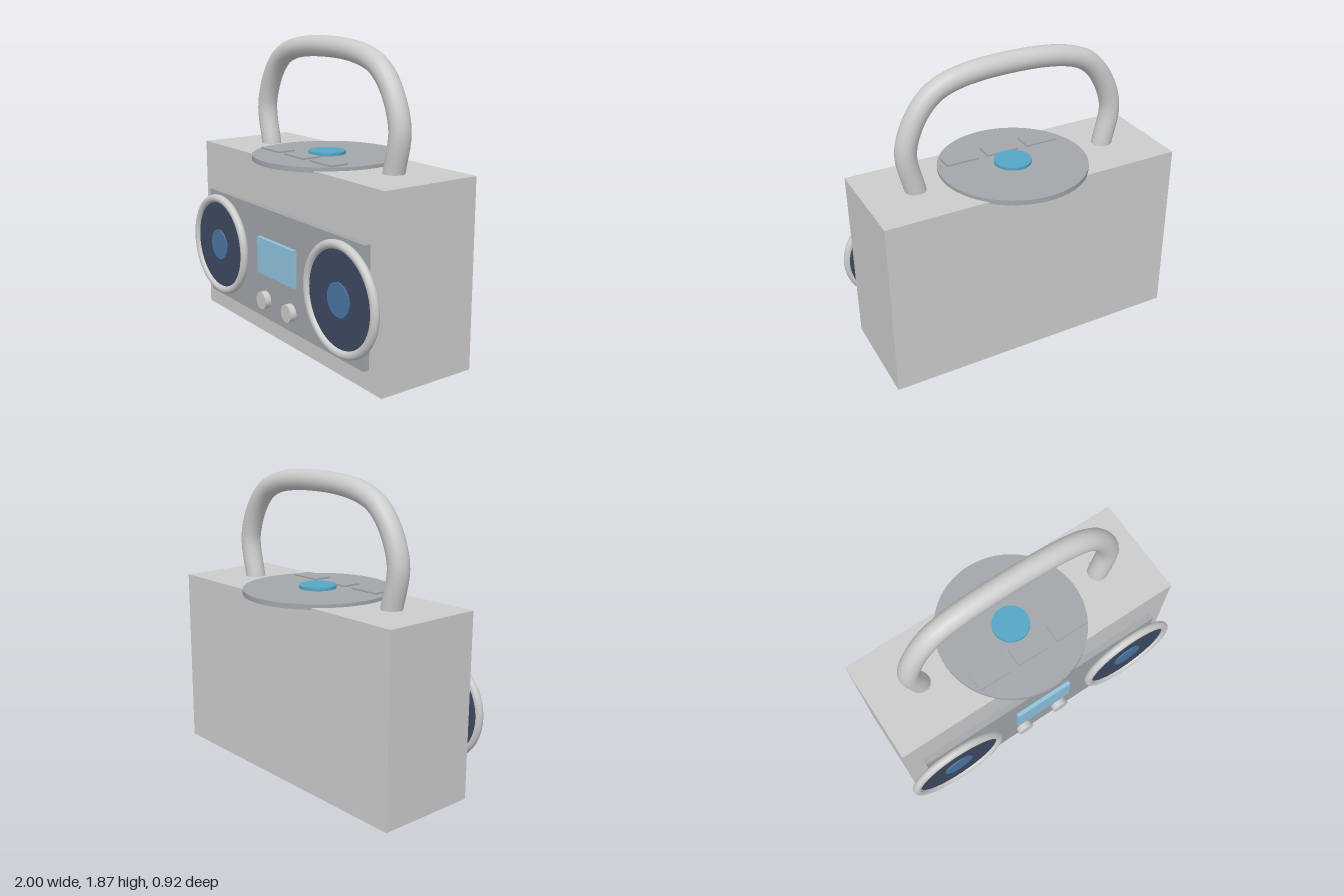
import * as THREE from 'three';

const paint = (color) => new THREE.MeshStandardMaterial({ color });

export function createModel() {
  const model = new THREE.Group();
  model.name = 'portableStereo';

  const grey = paint(0xcccccc);
  const darkGrey = paint(0xa2a6a9);
  const navy = paint(0x3d4a60);
  const blue = paint(0x4a76a3);
  const paleBlue = paint(0x8ec3de);
  const skyBlue = paint(0x55a5c6);

  const add = (name, geometry, material, x, y, z) => {
    const mesh = new THREE.Mesh(geometry, material);
    mesh.name = name;
    mesh.position.set(x, y, z);
    model.add(mesh);
    return mesh;
  };
  // Box given by its size, centre x and y, and its back and front z
  const slab = (name, w, h, x, y, z0, z1, material) =>
    add(name, new THREE.BoxGeometry(w, h, z1 - z0), material, x, y, (z0 + z1) / 2);
  // Round disc facing the front
  const frontDisc = (name, r, x, y, z0, z1, material) =>
    add(name, new THREE.CylinderGeometry(r, r, z1 - z0, 48).rotateX(Math.PI / 2),
      material, x, y, (z0 + z1) / 2);
  // Round disc lying flat
  const flatDisc = (name, r, y0, y1, material) =>
    add(name, new THREE.CylinderGeometry(r, r, y1 - y0, 64), material, 0, (y0 + y1) / 2, 0);

  // Case and front panel
  slab('body', 1.91, 1.14, 0, 0.57, -0.325, 0.325, grey);
  slab('frontPanel', 1.69, 0.71, 0, 0.48, 0.32, 0.365, darkGrey);

  // Speakers and knobs, mirrored left and right
  for (const [side, s] of [['left', 1], ['right', -1]]) {
    const x = s * 0.665;
    add(side + 'SpeakerRing', new THREE.TorusGeometry(0.309, 0.026, 16, 64), grey, x, 0.49, 0.393);
    frontDisc(side + 'SpeakerCone', 0.31, x, 0.49, 0.368, 0.398, navy);
    frontDisc(side + 'SpeakerCap', 0.1, x, 0.49, 0.39, 0.406, blue);
    frontDisc(side + 'Knob', 0.055, s * 0.141, 0.25, 0.36, 0.405, grey);
  }

  // Display
  slab('display', 0.4, 0.23, 0, 0.535, 0.36, 0.39, paleBlue);

  // Disc lid, its hub and three buttons
  flatDisc('discLid', 0.46, 1.13, 1.161, darkGrey);
  flatDisc('discHub', 0.115, 1.16, 1.18, skyBlue);
  for (const i of [-1, 0, 1]) {
    slab('button', 0.21, 0.015, i * 0.273, 1.1635, 0.125, 0.245, darkGrey);
  }

  // Carrying handle
  const half = [[0.635, 1.12], [0.68, 1.42], [0.5, 1.72]];
  const points = [
    ...half.map(([x, y]) => new THREE.Vector3(-x, y, 0)),
    new THREE.Vector3(0, 1.81, 0),
    ...half.reverse().map(([x, y]) => new THREE.Vector3(x, y, 0)),
  ];
  const curve = new THREE.CatmullRomCurve3(points);
  add('handle', new THREE.TubeGeometry(curve, 64, 0.064, 16), grey, 0, 0, 0);

  return model;
}
